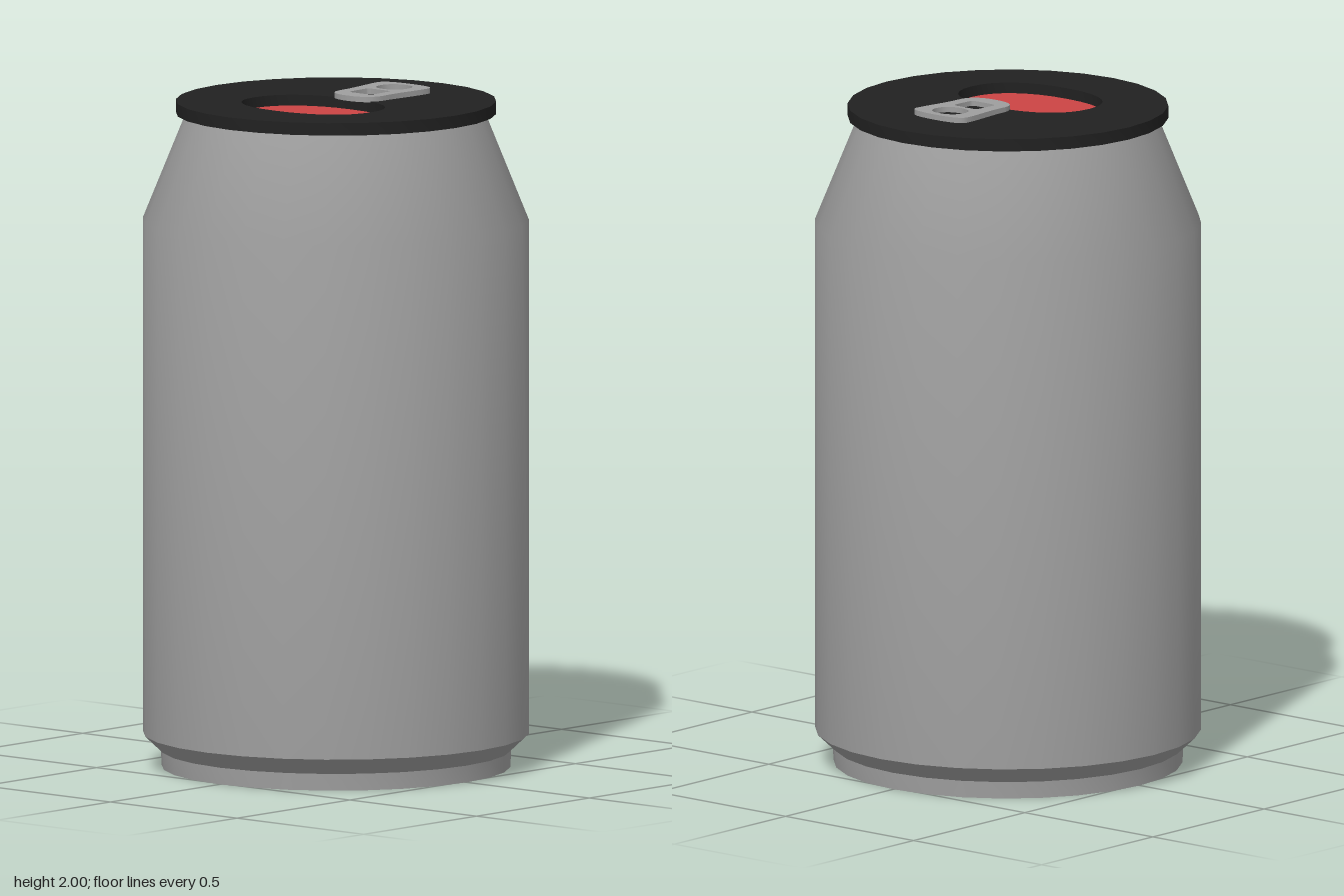
import * as THREE from 'three';
import { toCreasedNormals } from 'three/addons/utils/BufferGeometryUtils.js';

const SIDES = 28;
const mat = (color, side = THREE.FrontSide) => new THREE.MeshStandardMaterial({ color, side });

// Points of a rounded oval; power 2 is an ellipse, higher is squarer
function oval(cx, cy, rx, ry, power = 2, n = 28) {
  const f = (v) => Math.sign(v) * Math.pow(Math.abs(v), 2 / power);
  return Array.from({ length: n }, (_, i) => {
    const a = (i / n) * Math.PI * 2;
    return new THREE.Vector2(cx + rx * f(Math.cos(a)), cy + ry * f(Math.sin(a)));
  });
}

// Flat plate drawn in plan (shape y = -z), raised from y0 to y1
function plate(shape, y0, y1) {
  const geo = new THREE.ExtrudeGeometry(shape, { depth: y1 - y0, bevelEnabled: false, curveSegments: 6 });
  geo.rotateX(-Math.PI / 2).translate(0, y0, 0);
  return toCreasedNormals(geo, 0.6);
}

export function createModel() {
  const group = new THREE.Group();
  const add = (name, geo, material) => {
    const mesh = new THREE.Mesh(geo, material);
    mesh.name = name;
    group.add(mesh);
  };
  const metal = mat(0x9e9e9e);

  // Body: foot, lower bevel, straight wall and tapered neck
  const profile = [[0, 0], [0.515, 0], [0.517, 0.05], [0.57, 0.1], [0.57, 1.63], [0.44, 1.95]]
    .map(([r, y]) => new THREE.Vector2(r, y));
  add('body', toCreasedNormals(new THREE.LatheGeometry(profile, SIDES), 0.5), metal);

  // Lid with the mouth opening cut through it
  const mouth = oval(0.01, -0.112, 0.231, 0.167, 2.25, 32);
  const lid = new THREE.Shape(oval(0, 0, 0.473, 0.473, 2, SIDES));
  lid.holes.push(new THREE.Path(mouth));
  add('lid', plate(lid, 1.945, 1.982), mat(0x212121));

  // Recessed panel closing the mouth
  const panel = new THREE.ShapeGeometry(new THREE.Shape(mouth));
  panel.rotateX(-Math.PI / 2).translate(0, 1.95, 0);
  add('mouthPanel', panel, mat(0xcc4444, THREE.DoubleSide));

  // Pull tab: wide at the back, waisted, rounded at the front
  const tab = new THREE.Shape();
  tab.moveTo(0.025, 0.024);
  tab.bezierCurveTo(0.075, 0.024, 0.109, 0.04, 0.11, 0.085);
  tab.bezierCurveTo(0.106, 0.16, 0.122, 0.21, 0.123, 0.27);
  tab.bezierCurveTo(0.123, 0.3, 0.08, 0.306, 0.023, 0.306);
  tab.bezierCurveTo(-0.034, 0.306, -0.077, 0.3, -0.077, 0.27);
  tab.bezierCurveTo(-0.076, 0.21, -0.06, 0.16, -0.062, 0.085);
  tab.bezierCurveTo(-0.061, 0.04, -0.025, 0.024, 0.025, 0.024);
  tab.holes.push(
    new THREE.Path(oval(0.023, 0.233, 0.054, 0.049, 2.2)),
    new THREE.Path(oval(0.024, 0.123, 0.046, 0.044, 7)),
  );
  const tabGeo = plate(tab, -0.008, 0.008);
  // Tilt the tab so its back edge lifts slightly
  tabGeo.translate(0, 0, 0.165).rotateX(0.015).translate(0, 1.99, -0.165);
  add('pullTab', tabGeo, metal);

  return group;
}
